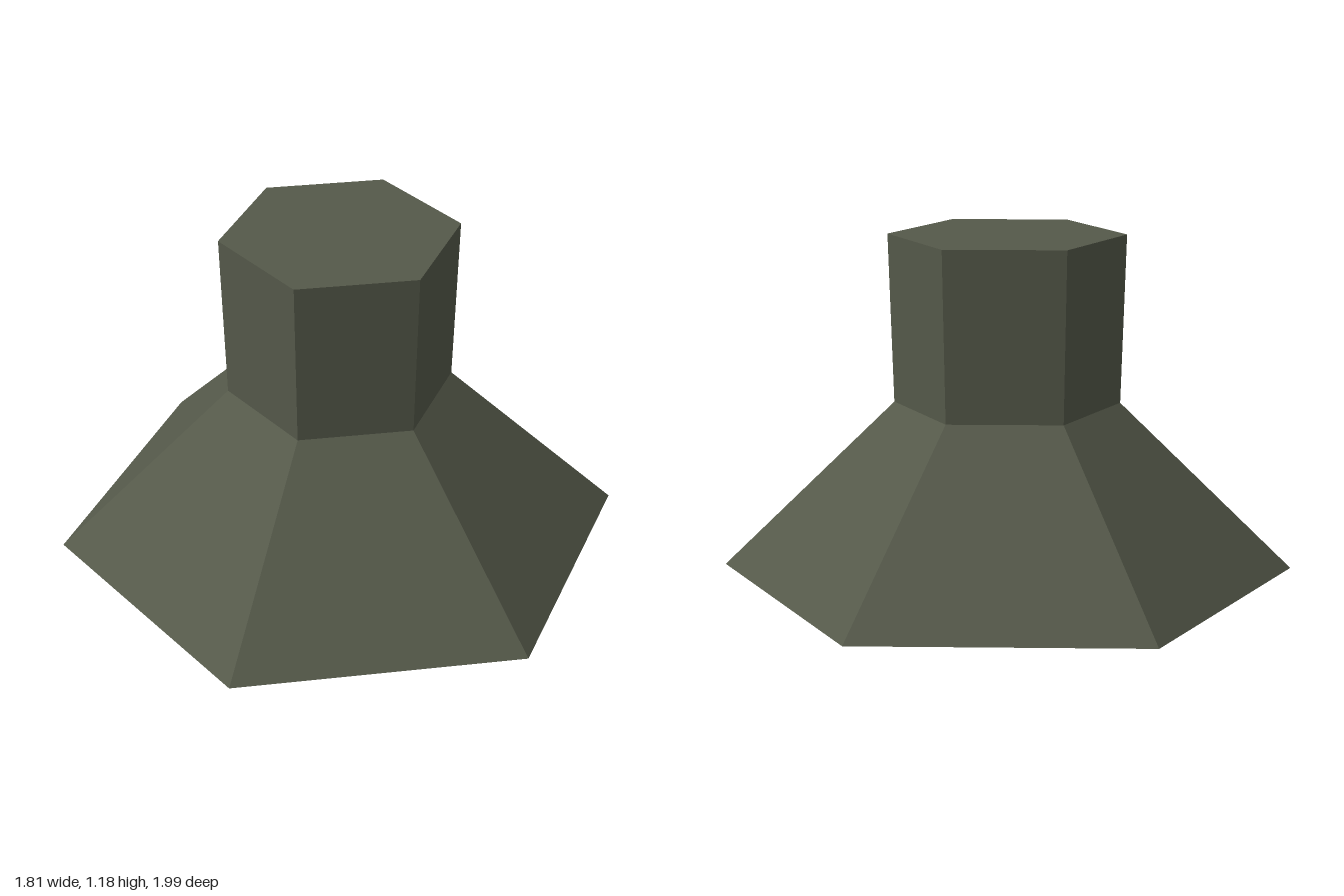
import * as THREE from 'three';

const SIDES = 6;
const TWIST = 0.085; // slight turn of the hexagon about y

export function createModel() {
  const group = new THREE.Group();
  group.name = 'hexagonalPedestal';

  const olive = new THREE.MeshStandardMaterial({ color: 0x55594a, flatShading: true });
  olive.name = 'darkOlive';

  // Closed or open-ended hexagonal frustum between two heights
  function frustum(name, rTop, rBottom, y0, y1) {
    const geometry = new THREE.CylinderGeometry(rTop, rBottom, y1 - y0, SIDES, 1, false, TWIST);
    geometry.translate(0, (y0 + y1) / 2, 0);
    const mesh = new THREE.Mesh(geometry, olive);
    mesh.name = name;
    group.add(mesh);
  }

  // Flared foot
  frustum('flaredBase', 0.393, 1, 0, 0.595);
  // Neck, widening slightly towards the top
  frustum('neck', 0.41, 0.393, 0.595, 1.185);

  return group;
}
